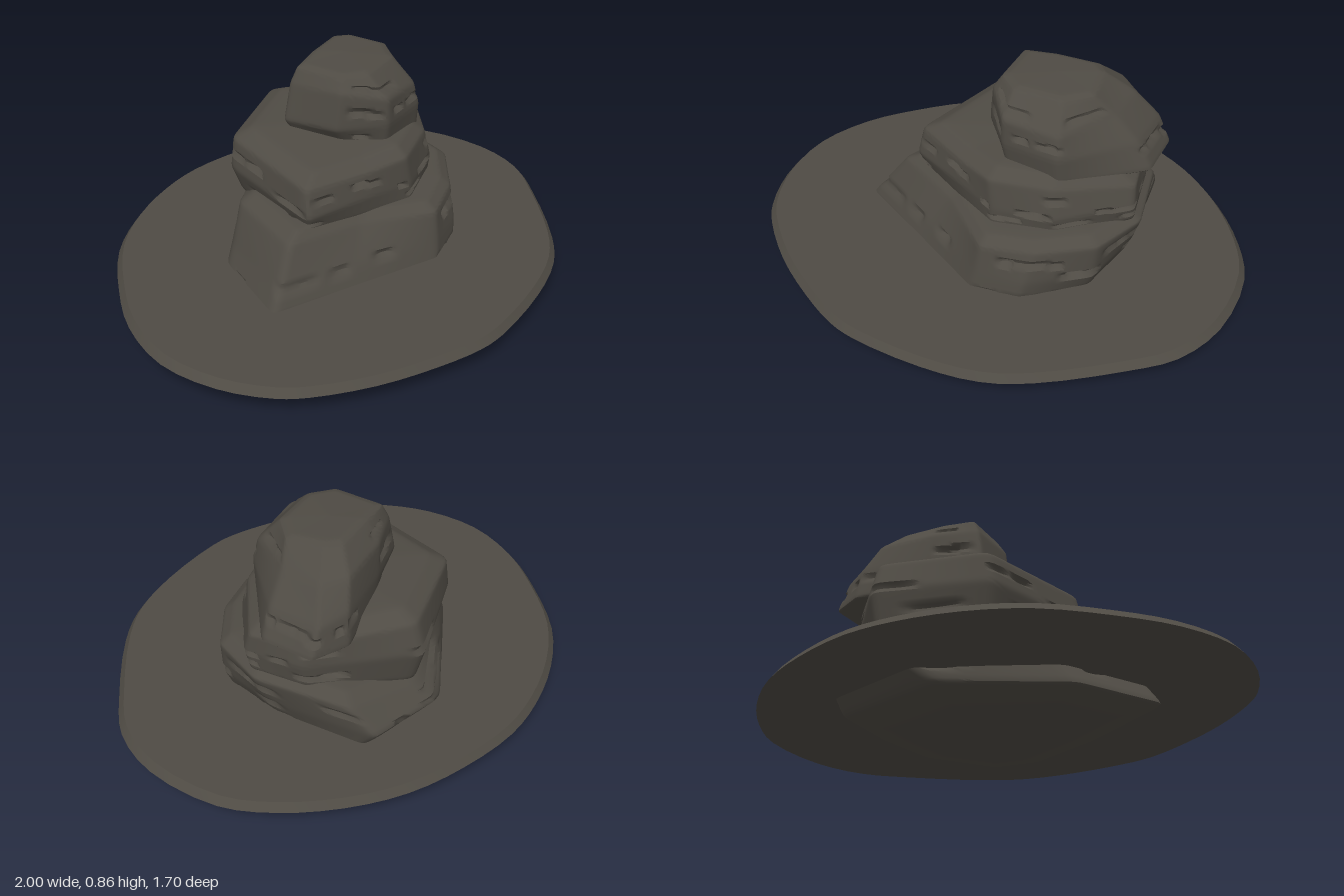
import * as THREE from 'three';
import { toCreasedNormals, mergeVertices } from 'three/addons/utils/BufferGeometryUtils.js';

// Corners run left, front, right, back as [x, y, z]; rings run bottom to top.
const LOWER = [
  [[-.64, .03, .16], [-.25, .02, .31], [.10, .03, .42], [.28, .03, .37], [.45, .04, .12], [.45, .04, -.15], [.42, .05, -.41], [-.07, .05, -.47], [-.50, .03, -.20]],
  [[-.52, .20, .13], [-.20, .20, .25], [.13, .20, .39], [.32, .20, .34], [.51, .20, .15], [.53, .20, -.10], [.42, .20, -.53], [.11, .21, -.59], [-.39, .20, -.23]],
  [[-.42, .34, .10], [-.12, .33, .20], [.14, .32, .37], [.34, .33, .30], [.52, .34, .15], [.58, .34, -.08], [.45, .31, -.43], [.16, .28, -.51], [-.32, .35, -.25]],
];
const MIDDLE = [
  [[-.31, .35, .10], [-.05, .35, .20], [.12, .35, .26], [.35, .35, .18], [.56, .36, -.05], [.48, .33, -.26], [.17, .30, -.51], [-.22, .33, -.33]],
  [[-.34, .42, .12], [-.06, .43, .21], [.12, .42, .26], [.35, .42, .19], [.57, .44, -.03], [.50, .44, -.26], [.17, .45, -.55], [-.25, .44, -.36]],
  [[-.32, .53, .10], [-.08, .53, .19], [.10, .54, .25], [.33, .54, .17], [.56, .52, -.05], [.48, .54, -.27], [.17, .57, -.51], [-.23, .56, -.36]],
];
const UPPER = [
  [[-.06, .58, -.20], [.00, .57, .01], [.11, .54, .14], [.33, .54, .13], [.58, .55, -.13], [.55, .55, -.34], [.40, .55, -.39], [.15, .56, -.30]],
  [[-.09, .63, -.21], [-.05, .64, .02], [.10, .65, .16], [.33, .65, .14], [.52, .66, -.12], [.50, .66, -.33], [.38, .68, -.37], [.13, .66, -.30]],
  [[-.06, .78, -.20], [-.03, .79, .03], [.10, .76, .16], [.32, .74, .12], [.43, .76, -.10], [.42, .77, -.27], [.33, .78, -.33], [.10, .78, -.28]],
  [[-.03, .84, -.19], [.00, .84, .01], [.09, .84, .07], [.28, .84, .04], [.36, .84, -.06], [.32, .85, -.21], [.27, .85, -.25], [.10, .85, -.22]],
];
// Platform outline as [x, z]
const OUTLINE = [
  [1, .05], [.96, -.25], [.85, -.43], [.68, -.6], [.48, -.73], [.25, -.81], [0, -.85], [-.2, -.83], [-.42, -.76],
  [-.62, -.64], [-.8, -.44], [-.93, -.24], [-1, 0], [-.97, .24], [-.88, .43], [-.8, .52], [-.61, .66], [-.4, .765],
  [-.22, .83], [-.1, .845], [.19, .82], [.41, .76], [.57, .66], [.81, .43], [.94, .27],
];

function seeded(seed) {
  return () => (seed = (seed * 16807) % 2147483647) / 2147483647;
}

// Skin over rows of points that close around, each row running left, front, right, back
function skin(rows) {
  const n = rows[0].length, index = [];
  for (let j = 0; j < rows.length - 1; j++) {
    for (let i = 0; i < n; i++) {
      const a = j * n + i, b = j * n + (i + 1) % n;
      index.push(a, b, a + n, b, b + n, a + n);
    }
  }
  const geo = new THREE.BufferGeometry().setFromPoints(rows.flat());
  geo.setIndex(index);
  return geo;
}

const centreOf = (ring) => ring.reduce((s, p) => s.add(p), new THREE.Vector3()).divideScalar(ring.length);

// A boulder lofted through the rings, softened, then cut with short weathered slots
function boulder(corners, bottomY, topY, inset, lift, slots, seed) {
  const AROUND = 20, UP = 12, rand = seeded(seed);
  const rings = corners.map((r) => r.map((p) => new THREE.Vector3(...p)));
  const foot = rings[0], top = rings[rings.length - 1];
  const base = centreOf(foot).setY(bottomY), peak = centreOf(top).setY(topY);
  // Shoulder and foot rings, each followed by a closing point
  rings.push(top.map((p) => new THREE.Vector3().lerpVectors(p, peak, inset).setY(Math.min(p.y + lift, topY))));
  rings.push(top.map(() => peak));
  rings.unshift(foot.map((p) => new THREE.Vector3().lerpVectors(p, base, 0.25).setY(THREE.MathUtils.lerp(p.y, bottomY, 0.75))));
  rings.unshift(foot.map(() => base));

  let rows = [];
  for (let k = 0; k < rings.length - 1; k++) {
    for (let s = k ? 1 : 0; s <= UP; s++) {
      const ring = rings[k].map((p, i) => p.clone().lerp(rings[k + 1][i], s / UP));
      rows.push(ring.flatMap((p, i) => Array.from({ length: AROUND },
        (_, t) => p.clone().lerp(ring[(i + 1) % ring.length], t / AROUND))));
    }
  }
  const n = rows[0].length, last = rows.length - 1;
  for (let pass = 0; pass < 3; pass++) {
    rows = rows.map((row, j) => row.map((p, i) => {
      if (j === 0 || j === last) return p;
      return p.clone().multiplyScalar(2).add(row[(i + 1) % n]).add(row[(i + n - 1) % n])
        .add(rows[j - 1][i]).add(rows[j + 1][i]).divideScalar(6);
    }));
  }
  // Slots lie in a few rough layers and taper towards their ends
  const first = 2 * UP + 3, side = UP * (corners.length - 1) - 5;
  for (let k = 0; k < slots; k++) {
    const layer = Math.round(first + side * ((k % 3) + 0.3 + rand() * 0.25) / 3);
    const mid = rand() * n, half = 2 + rand() * 4, depth = 0.012 + rand() * 0.01;
    for (let j = layer - 1; j <= layer + 1; j++) {
      for (let i = Math.ceil(mid - half); i <= mid + half; i++) {
        const p = rows[j][(i + n) % n];
        const inward = new THREE.Vector3(peak.x - p.x, 0, peak.z - p.z).normalize();
        const taper = Math.sqrt(1 - ((i - mid) / half) ** 2) * (j === layer ? 1 : 0.6);
        p.addScaledVector(inward, depth * taper);
      }
    }
  }
  return toCreasedNormals(mergeVertices(skin(rows)), 0.6);
}

// Thin slab with a rounded outline and a bevelled rim
function platform() {
  const curve = new THREE.CatmullRomCurve3(OUTLINE.map(([x, z]) => new THREE.Vector3(x, 0, z)), true);
  const edge = curve.getPoints(75).slice(0, -1).reverse();
  edge.reverse();
  const ring = (s, y) => edge.map((p) => new THREE.Vector3(p.x * s, y, p.z * s)).reverse();
  const rows = [ring(0, .105), ring(1, .105), ring(.975, .135), ring(0, .135)];
  return toCreasedNormals(mergeVertices(skin(rows.map((row) => row.reverse()))), 0.5);
}

export function createModel() {
  const stone = new THREE.MeshStandardMaterial({ color: 0x4f4b44 });
  stone.name = 'dark stone';
  const model = new THREE.Group();
  model.name = 'rockStack';
  const add = (name, geo) => {
    const mesh = new THREE.Mesh(geo, stone);
    mesh.name = name;
    model.add(mesh);
  };
  add('platform', platform());
  add('lowerBoulder', boulder(LOWER, 0, .385, .12, .035, 34, 11));
  add('middleBoulder', boulder(MIDDLE, .32, .605, .17, .04, 26, 29));
  add('upperBoulder', boulder(UPPER, .53, .86, .15, .01, 22, 47));
  return model;
}
